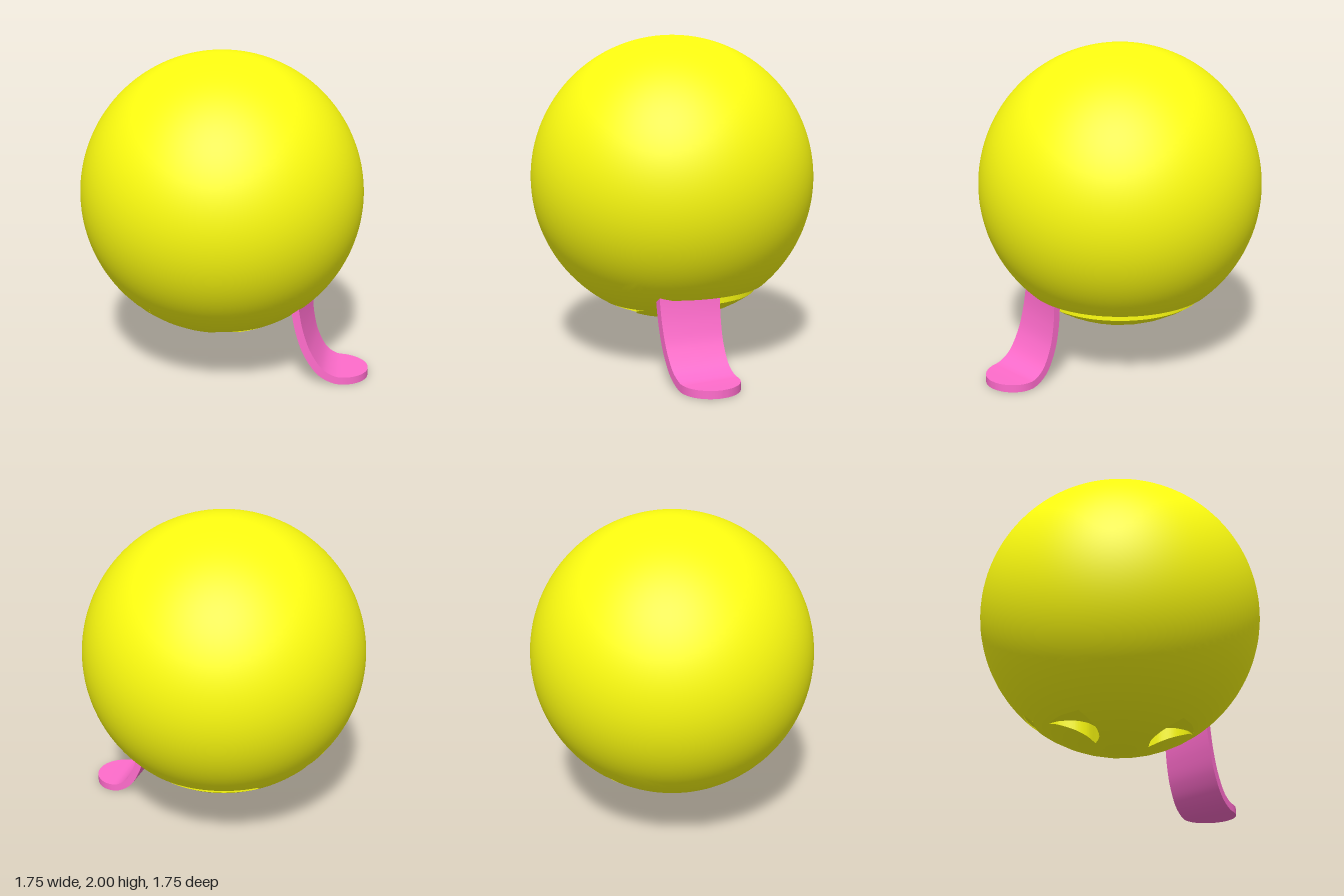
import * as THREE from 'three';
import { toCreasedNormals } from 'three/addons/utils/BufferGeometryUtils.js';

const R = 0.875, CY = 1.125, SEG = 16;
const sphereY = (x, z) => CY - Math.sqrt(Math.max(0, R * R - x * x - z * z));

const yellow = new THREE.MeshStandardMaterial({ color: 0xffff10, side: THREE.DoubleSide });
const pink = new THREE.MeshStandardMaterial({ color: 0xff6ccc, side: THREE.DoubleSide });

function add(group, name, geometry, material) {
  const mesh = new THREE.Mesh(geometry, material);
  mesh.name = name;
  group.add(mesh);
}

function build(positions, indices) {
  const g = new THREE.BufferGeometry();
  g.setAttribute('position', new THREE.Float32BufferAttribute(positions, 3));
  if (indices) g.setIndex(indices);
  return g;
}

// Flat plan (x, z) split into small triangles and laid on the underside of the ball
function undersideGeometry(shape) {
  const flat = new THREE.ShapeGeometry(shape, SEG).toNonIndexed().getAttribute('position');
  const pos = [], nor = [];
  const put = (p) => {
    const y = sphereY(p.x, p.y);
    pos.push(p.x, y, p.y);
    nor.push(p.x / R, (y - CY) / R, p.y / R);
  };
  const split = (a, b, c, level) => {
    if (level === 0) return [a, b, c].forEach(put);
    const ab = a.clone().lerp(b, 0.5), bc = b.clone().lerp(c, 0.5), ca = c.clone().lerp(a, 0.5);
    [[a, ab, ca], [ab, b, bc], [ca, bc, c], [ab, bc, ca]].forEach((t) => split(...t, level - 1));
  };
  const at = (i) => new THREE.Vector2(flat.getX(i), flat.getY(i));
  for (let i = 0; i < flat.count; i += 3) split(at(i), at(i + 1), at(i + 2), 3);
  const g = build(pos);
  g.setAttribute('normal', new THREE.Float32BufferAttribute(nor, 3));
  return g;
}

// Side walls and flat bottom of a recess cut upward into the ball
function addRecess(group, name, shape, depthY) {
  const pts = shape.getPoints(SEG), pos = [], idx = [];
  pts.forEach((p) => {
    const y = sphereY(p.x, p.y);
    pos.push(p.x, y, p.y, p.x, Math.max(y, depthY), p.y);
  });
  for (let i = 0; i < pts.length; i++) {
    const a = 2 * i, b = 2 * ((i + 1) % pts.length);
    idx.push(a, a + 1, b, b, a + 1, b + 1);
  }
  add(group, name + 'Wall', toCreasedNormals(build(pos, idx), 0.6), yellow);
  const floor = new THREE.ShapeGeometry(shape, SEG);
  floor.rotateX(Math.PI / 2);
  floor.translate(0, depthY, 0);
  add(group, name + 'Floor', floor, yellow);
}

// Curved slot with rounded ends
function mouthShape() {
  const a = 0.22, outer = 0.585, inner = 0.52, mid = (outer + inner) / 2, cap = (outer - inner) / 2;
  const cx = mid * Math.cos(a), cz = -mid * Math.sin(a), PI = Math.PI;
  const s = new THREE.Shape();
  s.absarc(0, 0, outer, -a, a - PI, true);
  s.absarc(-cx, cz, cap, PI + a, a, true);
  s.absarc(0, 0, inner, PI + a, 2 * PI - a, false);
  s.absarc(cx, cz, cap, PI - a, -a, true);
  return s;
}

// Arched crescent eye, mirrored by side
function eyeShape(side) {
  const v = (list) => list.map(([x, z]) => new THREE.Vector2(side * x, z));
  const s = new THREE.Shape();
  s.moveTo(side * 0.16, 0.06);
  s.splineThru(v([[0.155, 0.15], [0.19, 0.23], [0.25, 0.285], [0.31, 0.315]]));
  s.splineThru(v([[0.385, 0.217], [0.425, 0.12], [0.438, 0.05]]));
  s.splineThru(v([[0.39, 0.105], [0.3, 0.135], [0.22, 0.115], [0.16, 0.06]]));
  return s;
}

// Bent strip with a round tip, running out along the (+x, -z) diagonal
function tongueGeometry() {
  const path = new THREE.CatmullRomCurve3([
    [0.51, 0.56], [0.515, 0.46], [0.535, 0.33], [0.575, 0.2], [0.65, 0.08],
    [0.73, 0.032], [0.8, 0.025], [0.932, 0.025],
  ].map(([u, y]) => new THREE.Vector3(u, y, 0)));
  const N = 60, half = 0.176, tipU = 0.757, thick = 0.0235, midW = 0.177;
  const pos = [], idx = [];
  for (let i = 0; i <= N; i++) {
    const t = 1 - (1 - i / N) ** 2;
    const p = path.getPointAt(t), d = path.getTangentAt(t);
    const over = Math.max(0, p.x - tipU);
    const hw = Math.sqrt(Math.max(1e-6, half * half - over * over));
    for (const [side, face] of [[-1, -1], [1, -1], [1, 1], [-1, 1]]) {
      const w = midW + side * hw;
      const u = p.x - d.y * face * thick - side * hw * 0.28 * (1 - t);
      const y = Math.max(0, p.y + d.x * face * thick);
      pos.push((u + w) * Math.SQRT1_2, y, (w - u) * Math.SQRT1_2);
    }
  }
  for (let i = 0; i < N; i++) {
    for (let k = 0; k < 4; k++) {
      const a = 4 * i + k, b = 4 * i + (k + 1) % 4;
      idx.push(a, b, a + 4, b, b + 4, a + 4);
    }
  }
  const e = 4 * N;
  idx.push(0, 2, 1, 0, 3, 2, e, e + 1, e + 2, e, e + 2, e + 3);
  return toCreasedNormals(build(pos, idx), 0.7);
}

export function createModel() {
  const group = new THREE.Group();
  group.name = 'ballFace';

  // Ball, open underneath where the face sits
  const capR = 0.7;
  const ball = new THREE.SphereGeometry(R, 96, 64, 0, Math.PI * 2, 0, Math.PI - Math.asin(capR / R));
  ball.translate(0, CY, 0);
  add(group, 'ball', ball, yellow);

  // Face on the underside with slots for the mouth and eyes
  const mouth = mouthShape(), eyes = [eyeShape(1), eyeShape(-1)];
  const face = new THREE.Shape();
  face.absarc(0, 0, capR + 0.006, 0, Math.PI * 2, false);
  face.holes.push(mouth, ...eyes);
  add(group, 'face', undersideGeometry(face), yellow);
  addRecess(group, 'mouth', mouth, 0.485);
  addRecess(group, 'leftEye', eyes[0], 0.37);
  addRecess(group, 'rightEye', eyes[1], 0.37);

  add(group, 'tongue', tongueGeometry(), pink);
  return group;
}
